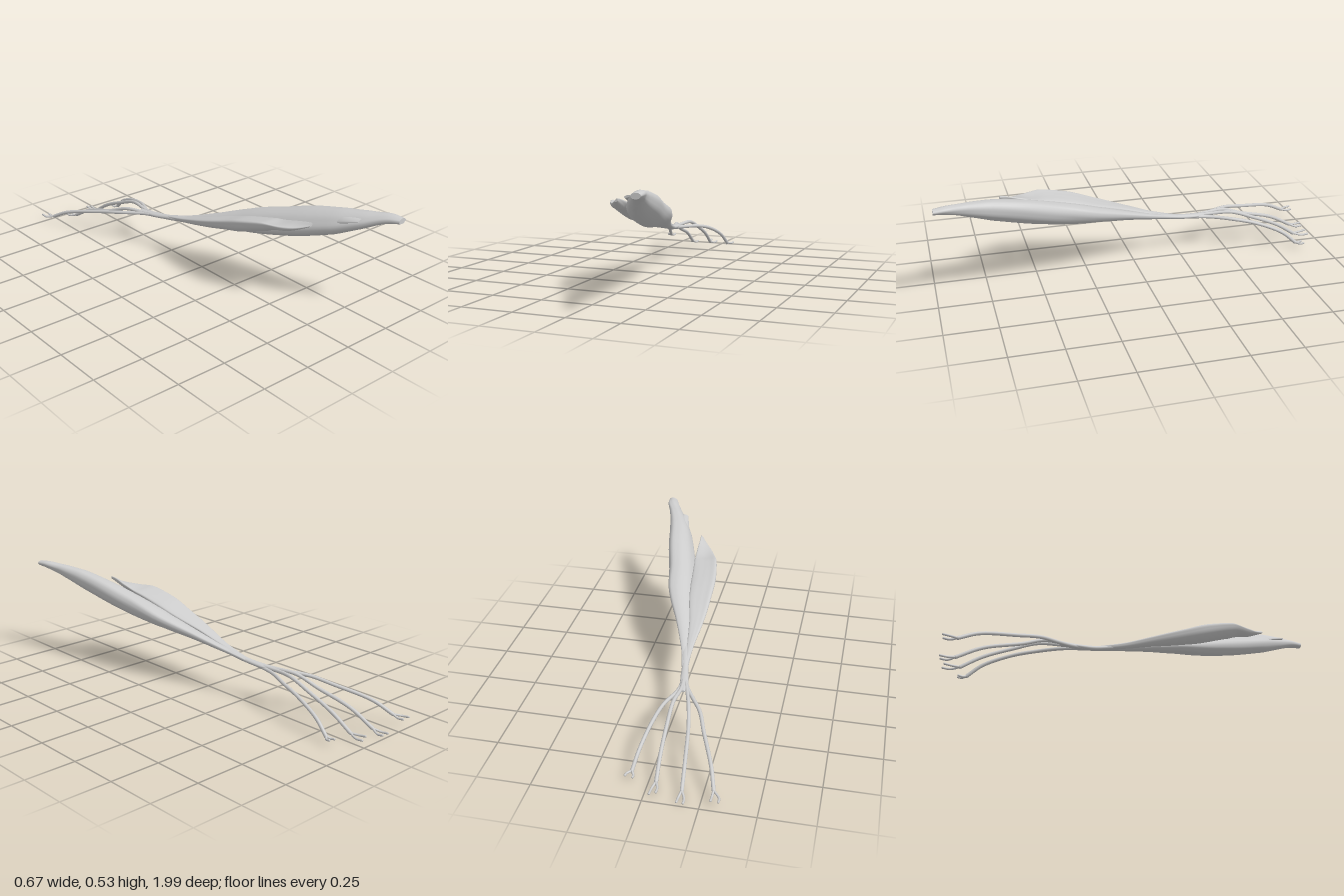
import * as THREE from 'three';

const material = new THREE.MeshStandardMaterial({ color: 0xcccccc, side: THREE.DoubleSide });

// Smooth closed body through tilted oval sections [z, x, y, halfWidth, halfHeight, tilt];
// fold lifts both edges of each section into a shallow trough
function loft(name, sections, { ridges = 0, fold = 0, steps = 48, sides = 32 } = {}) {
  const centre = new THREE.CatmullRomCurve3(sections.map(s => new THREE.Vector3(s[1], s[2], s[0])), false, 'centripetal');
  const size = new THREE.CatmullRomCurve3(sections.map(s => new THREE.Vector3(s[3], s[4], s[5])));
  const pos = [], index = [];
  for (let i = 0; i <= steps; i++) {
    const c = centre.getPoint(i / steps), r = size.getPoint(i / steps);
    const cos = Math.cos(r.z), sin = Math.sin(r.z);
    for (let j = 0; j < sides; j++) {
      const t = j / sides * Math.PI * 2;
      // shallow lengthwise fibres
      const k = 1 + ridges * (Math.sin(5 * t + i * 0.03) + 0.6 * Math.sin(9 * t - i * 0.05));
      const u = Math.cos(t) * r.x * k;
      const v = Math.sin(t) * r.y * k + fold * r.x * (Math.cos(t) ** 2 - 0.5);
      pos.push(c.x + u * cos - v * sin, c.y + u * sin + v * cos, c.z);
      if (i < steps) {
        const a = i * sides + j, b = i * sides + (j + 1) % sides;
        index.push(a, b, b + sides, a, b + sides, a + sides);
      }
    }
  }
  // end caps, with their own rims so the edges stay sharp
  for (const i of [0, steps]) {
    const base = pos.length / 3;
    for (let j = 0; j < sides; j++) {
      const p = (i * sides + j) * 3;
      pos.push(pos[p], pos[p + 1], pos[p + 2]);
    }
    const c = centre.getPoint(i / steps);
    pos.push(c.x, c.y, c.z);
    for (let j = 0; j < sides; j++) {
      const a = base + j, b = base + (j + 1) % sides;
      if (i) index.push(a, b, base + sides);
      else index.push(b, a, base + sides);
    }
  }
  const geo = new THREE.BufferGeometry();
  geo.setAttribute('position', new THREE.Float32BufferAttribute(pos, 3));
  geo.setIndex(index);
  geo.computeVertexNormals();
  const mesh = new THREE.Mesh(geo, material);
  mesh.name = name;
  return mesh;
}

// Round cord through points, with a rounded tip
function cord(name, points, radius, segments) {
  const group = new THREE.Group();
  group.name = name;
  const curve = new THREE.CatmullRomCurve3(points.map(p => new THREE.Vector3(...p)));
  const tip = new THREE.Mesh(new THREE.SphereGeometry(radius, 10, 8), material);
  tip.position.copy(curve.getPoint(1));
  group.add(new THREE.Mesh(new THREE.TubeGeometry(curve, segments, radius, 10), material), tip);
  return group;
}

// Tendon that ends in a two-pronged fork with upturned tips
function tendon(name, path, prongs) {
  const group = new THREE.Group();
  group.name = name;
  group.add(cord('tendonCord', path, 0.009, 40));
  const end = path[path.length - 1];
  for (const p of prongs) {
    const mid = [end[0] + (p[0] - end[0]) * 0.9, Math.min(end[1], p[1]) - 0.003, end[2] + (p[2] - end[2]) * 0.55];
    group.add(cord('forkProng', [end, mid, p], 0.0055, 12));
  }
  return group;
}

export function createModel() {
  const model = new THREE.Group();
  model.name = 'forearmMuscle';

  // Large belly, running up to its cut upper end
  model.add(loft('largeBelly', [
    [-0.25, -0.022, 0.200, 0.012, 0.009, 0.3],
    [-0.10, 0.006, 0.232, 0.026, 0.014, 0.4],
    [0.04, 0.040, 0.269, 0.046, 0.023, 0.4],
    [0.20, 0.088, 0.313, 0.070, 0.037, 0.42],
    [0.40, 0.131, 0.361, 0.079, 0.052, 0.6],
    [0.58, 0.175, 0.410, 0.081, 0.053, 0.68],
    [0.72, 0.211, 0.448, 0.069, 0.047, 0.7],
    [0.84, 0.256, 0.483, 0.048, 0.032, 0.6],
    [0.93, 0.297, 0.508, 0.033, 0.020, 0.3],
    [0.99, 0.312, 0.512, 0.022, 0.013, 0.1],
  ], { ridges: 0.02 }));

  // Short split slip beside the upper end
  model.add(loft('sideSlip', [
    [0.50, 0.145, 0.400, 0.030, 0.025, 0.8],
    [0.65, 0.174, 0.446, 0.032, 0.018, 0.8],
    [0.76, 0.194, 0.475, 0.025, 0.011, 0.6],
    [0.84, 0.208, 0.490, 0.015, 0.005, 0.3],
  ], { ridges: 0.02, steps: 24, sides: 16 }));

  // Small trough-shaped belly with a pointed tip
  model.add(loft('smallBelly', [
    [-0.25, -0.026, 0.202, 0.010, 0.009, 0],
    [-0.10, -0.022, 0.236, 0.018, 0.014, 0],
    [0.05, -0.020, 0.280, 0.036, 0.022, 0],
    [0.20, -0.008, 0.325, 0.056, 0.030, -0.05],
    [0.34, 0.000, 0.367, 0.064, 0.034, -0.1],
    [0.47, 0.018, 0.402, 0.060, 0.025, -0.1],
    [0.58, 0.047, 0.421, 0.038, 0.016, 0.2],
    [0.67, 0.078, 0.449, 0.010, 0.005, 0.8],
  ], { ridges: 0.02, fold: 0.32 }));

  // Narrow neck where the bellies gather into tendons
  model.add(loft('tendonNeck', [
    [-0.43, -0.056, 0.189, 0.010, 0.005, 0.05],
    [-0.36, -0.047, 0.189, 0.019, 0.010, 0.05],
    [-0.25, -0.027, 0.200, 0.016, 0.012, 0.1],
    [-0.14, -0.010, 0.224, 0.020, 0.011, 0.2],
    [-0.02, 0.006, 0.255, 0.012, 0.006, 0.2],
  ], { steps: 24, sides: 20 }));

  // Four tendons fanning out to the back, from -x to +x
  model.add(tendon('outerRightTendon', [
    [-0.040, 0.190, -0.30], [-0.070, 0.184, -0.39], [-0.105, 0.177, -0.45], [-0.160, 0.166, -0.54],
    [-0.200, 0.143, -0.65], [-0.270, 0.098, -0.83], [-0.300, 0.050, -0.925],
  ], [[-0.333, 0.046, -0.99], [-0.298, 0.043, -0.985]]));
  model.add(tendon('innerRightTendon', [
    [-0.035, 0.193, -0.30], [-0.068, 0.188, -0.40], [-0.100, 0.180, -0.51], [-0.124, 0.138, -0.62],
    [-0.148, 0.085, -0.80], [-0.160, 0.020, -0.92],
  ], [[-0.180, 0.012, -0.99], [-0.150, 0.009, -0.985]]));
  model.add(tendon('innerLeftTendon', [
    [-0.035, 0.193, -0.30], [-0.044, 0.191, -0.41], [-0.032, 0.192, -0.53], [-0.031, 0.150, -0.65],
    [-0.034, 0.090, -0.79], [-0.039, 0.025, -0.89],
  ], [[-0.055, 0.027, -0.963], [-0.026, 0.018, -0.968]]));
  model.add(tendon('outerLeftTendon', [
    [-0.035, 0.190, -0.30], [-0.030, 0.180, -0.41], [0.015, 0.171, -0.53], [0.042, 0.145, -0.65],
    [0.066, 0.090, -0.78], [0.080, 0.032, -0.85],
  ], [[0.068, 0.027, -0.888], [0.102, 0.032, -0.888]]));

  return model;
}
